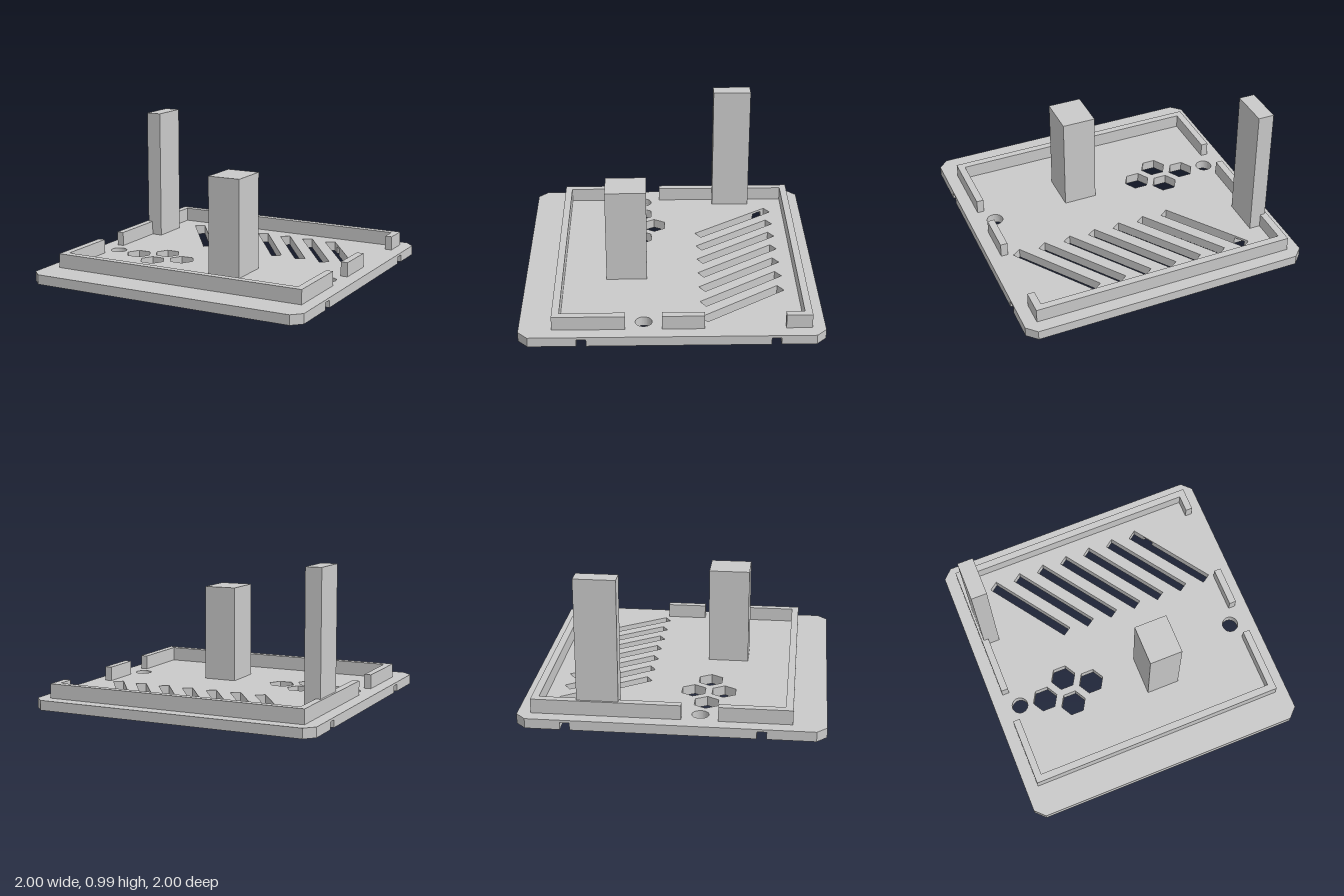
import * as THREE from 'three';

const grey = new THREE.MeshStandardMaterial({ color: 0xcacaca });
grey.name = 'plain grey';

const PLATE = 0.067, GROOVE = 0.05, RIM = 0.165;

// Plan points are [x, z]; the extrusion rises along y.
const toPoints = (plan) => plan.map(([x, z]) => new THREE.Vector2(x, -z));

function slab(name, outline, holes, y0, y1) {
  // Outline anticlockwise, so that the hole walls face into the openings
  const points = toPoints(outline);
  if (THREE.ShapeUtils.isClockWise(points)) points.reverse();
  const shape = new THREE.Shape(points);
  for (const hole of holes) {
    const holePoints = toPoints(hole);
    if (!THREE.ShapeUtils.isClockWise(holePoints)) holePoints.reverse();
    shape.holes.push(new THREE.Path(holePoints));
  }
  const geometry = new THREE.ExtrudeGeometry(shape, { depth: y1 - y0, bevelEnabled: false });
  geometry.rotateX(-Math.PI / 2);
  geometry.translate(0, y0, 0);
  const mesh = new THREE.Mesh(geometry, grey);
  mesh.name = name;
  return mesh;
}

function block(name, x0, x1, y0, y1, z0, z1) {
  const mesh = new THREE.Mesh(new THREE.BoxGeometry(x1 - x0, y1 - y0, z1 - z0), grey);
  mesh.position.set((x0 + x1) / 2, (y0 + y1) / 2, (z0 + z1) / 2);
  mesh.name = name;
  return mesh;
}

function ring(cx, cz, r, sides) {
  return Array.from({ length: sides }, (_, i) => {
    const a = (i / sides) * Math.PI * 2;
    return [cx + r * Math.cos(a), cz + r * Math.sin(a)];
  });
}

// Slanted vent slot: left-back, right-back, right-front, left-front corners
const slot = (i) => [[-0.712, -0.729], [-0.653, -0.772], [-0.276, -0.233], [-0.335, -0.193]]
  .map(([x, z]) => [x + i * 0.1848, z]);

// Point on the edge a-b at a given z
const onEdge = (a, b, z) => [a[0] + (b[0] - a[0]) * (z - a[1]) / (b[1] - a[1]), z];

export function createModel() {
  const model = new THREE.Group();
  model.name = 'ventedCover';

  // Openings through the plate
  const slots = Array.from({ length: 7 }, (_, i) => slot(i));
  const holes = [
    ring(-0.823, 0.185, 0.056, 32), ring(0.823, 0.185, 0.056, 32),
    ...[[-0.639, 0.208], [-0.461, 0.107], [-0.461, 0.311], [-0.284, 0.208]]
      .map(([x, z]) => ring(x, z, 0.09, 6)),
  ];

  // Upper layer of the plate, with clipped corners
  const c = 0.934;
  model.add(slab('plateTop',
    [[-c, -1], [c, -1], [1, -c], [1, c], [c, 1], [-c, 1], [-1, c], [-1, -c]],
    [...slots, ...holes], GROOVE, PLATE));

  // Lower layer: the back groove runs in from both sides to the outermost slots
  const first = slots[0], last = slots[6];
  const gb = -0.705, gf = -0.642;
  model.add(slab('plateBottom', [
    [-c, -1], [c, -1], [1, -c], [1, gb],
    onEdge(last[1], last[2], gb), last[1], last[0], last[3], last[2], onEdge(last[1], last[2], gf),
    [1, gf], [1, 0.557], [-1, 0.557], [-1, gf],
    onEdge(first[0], first[3], gf), first[3], first[2], first[1], first[0], onEdge(first[0], first[3], gb),
    [-1, gb], [-1, -c],
  ], [...slots.slice(1, 6), ...holes], 0, GROOVE));

  // Lower layer in front of the full-width groove
  model.add(slab('plateBottomFront',
    [[-1, 0.62], [1, 0.62], [1, c], [c, 1], [-c, 1], [-1, c]], [], 0, GROOVE));

  // Raised rim with gaps
  const o = 0.912, n = 0.863;
  model.add(slab('rimFront', [
    [-o, 0.306], [-n, 0.306], [-n, 0.734], [n, 0.734], [n, 0.306], [o, 0.306], [o, 0.783], [-o, 0.783],
  ], [], PLATE, RIM));
  model.add(slab('rimBack', [
    [-o, 0.067], [-o, -0.912], [o, -0.912], [o, -0.742], [n, -0.742], [n, -0.863], [-n, -0.863], [-n, 0.067],
  ], [], PLATE, RIM));
  model.add(block('rimLeft', n, o, PLATE, RIM, -0.212, 0.067));

  // Upright posts
  model.add(block('tallPost', -0.897, -0.787, PLATE, 0.993, -0.612, -0.339));
  model.add(block('shortPost', 0.064, 0.296, PLATE, 0.736, 0.163, 0.442));

  return model;
}
